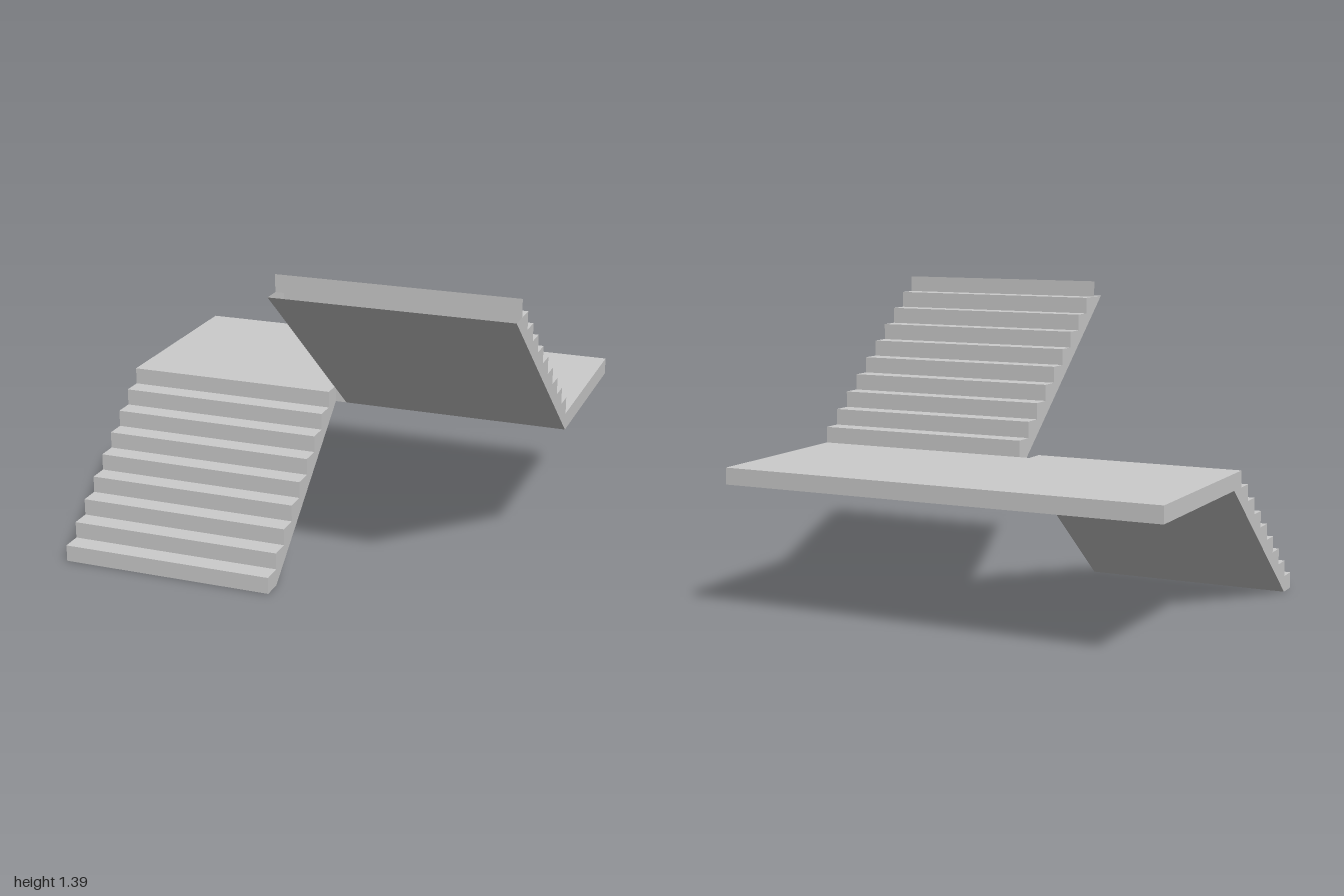
import * as THREE from 'three';

const RISE = 0.0733, GOING = 0.0902, STEPS = 9;
const EDGE = -0.045;            // front edge of the landing (z)
const LOW = RISE * 8, TOP = RISE * 9; // landing underside and top (y)

const material = new THREE.MeshStandardMaterial({
  color: 0xcccccc, flatShading: true, side: THREE.DoubleSide,
});

function addMesh(parent, name, geometry) {
  const mesh = new THREE.Mesh(geometry, material);
  mesh.name = name;
  parent.add(mesh);
}

// Sweep a [z, y] polyline across x as a folded sheet
function sheet(points, x0, x1) {
  const pos = [];
  for (let i = 0; i + 1 < points.length; i++) {
    const [za, ya] = points[i], [zb, yb] = points[i + 1];
    pos.push(x0, ya, za, x1, ya, za, x1, yb, zb);
    pos.push(x0, ya, za, x1, yb, zb, x0, yb, zb);
  }
  const g = new THREE.BufferGeometry();
  g.setAttribute('position', new THREE.Float32BufferAttribute(pos, 3));
  g.computeVertexNormals();
  return g;
}

// Flat side wall from a [z, y] outline, facing +x (sign 1) or -x (sign -1)
function wall(outline, x, sign) {
  const shape = new THREE.Shape(outline.map(([z, y]) => new THREE.Vector2(-sign * z, y)));
  return new THREE.ShapeGeometry(shape).rotateY(sign * Math.PI / 2).translate(x, 0, 0);
}

// A flight is an open shell: folded steps, sloping soffit and two side walls
function flight(name, steps, soffit, outline, x0, x1) {
  const group = new THREE.Group();
  group.name = name;
  addMesh(group, 'steps', sheet(steps, x0, x1));
  addMesh(group, 'soffit', sheet(soffit, x0, x1));
  addMesh(group, 'rightSide', wall(outline, x0, -1));
  addMesh(group, 'leftSide', wall(outline, x1, 1));
  return group;
}

export function createModel() {
  const model = new THREE.Group();
  model.name = 'staircase';

  // Landing slab
  const depth = 0.847 + EDGE;
  addMesh(model, 'landing', new THREE.BoxGeometry(2, RISE, depth)
    .translate(0, (LOW + TOP) / 2, EDGE - depth / 2));

  // Lower flight, climbing from the front to the landing
  const lower = [];
  for (let i = 0; i < STEPS; i++) {
    const z = EDGE + (STEPS - i) * GOING;
    lower.push([z, i * RISE], [z, (i + 1) * RISE]);
  }
  lower.push([EDGE, TOP]);
  const lowerSoffit = [[EDGE, LOW], [EDGE + 8 * GOING, 0]];
  model.add(flight('lowerFlight', lower, lowerSoffit, [...lower, ...lowerSoffit], -1, -0.05));

  // Upper flight, climbing back towards the front
  const upper = [];
  for (let i = 0; i < STEPS; i++) {
    const z = EDGE + i * GOING;
    upper.push([z, TOP + i * RISE], [z, TOP + (i + 1) * RISE]);
  }
  const topY = TOP + STEPS * RISE, lastZ = EDGE + STEPS * GOING;
  const tip = [0.847, topY];
  const upperSoffit = [[EDGE, LOW], tip];
  // The last riser stands free above the flight
  const upperSteps = [...upper, [lastZ, topY], [lastZ, topY + RISE]].reverse();
  model.add(flight('upperFlight', upperSteps, upperSoffit, [...upper, tip, [EDGE, LOW]], 0, 1));

  return model;
}
